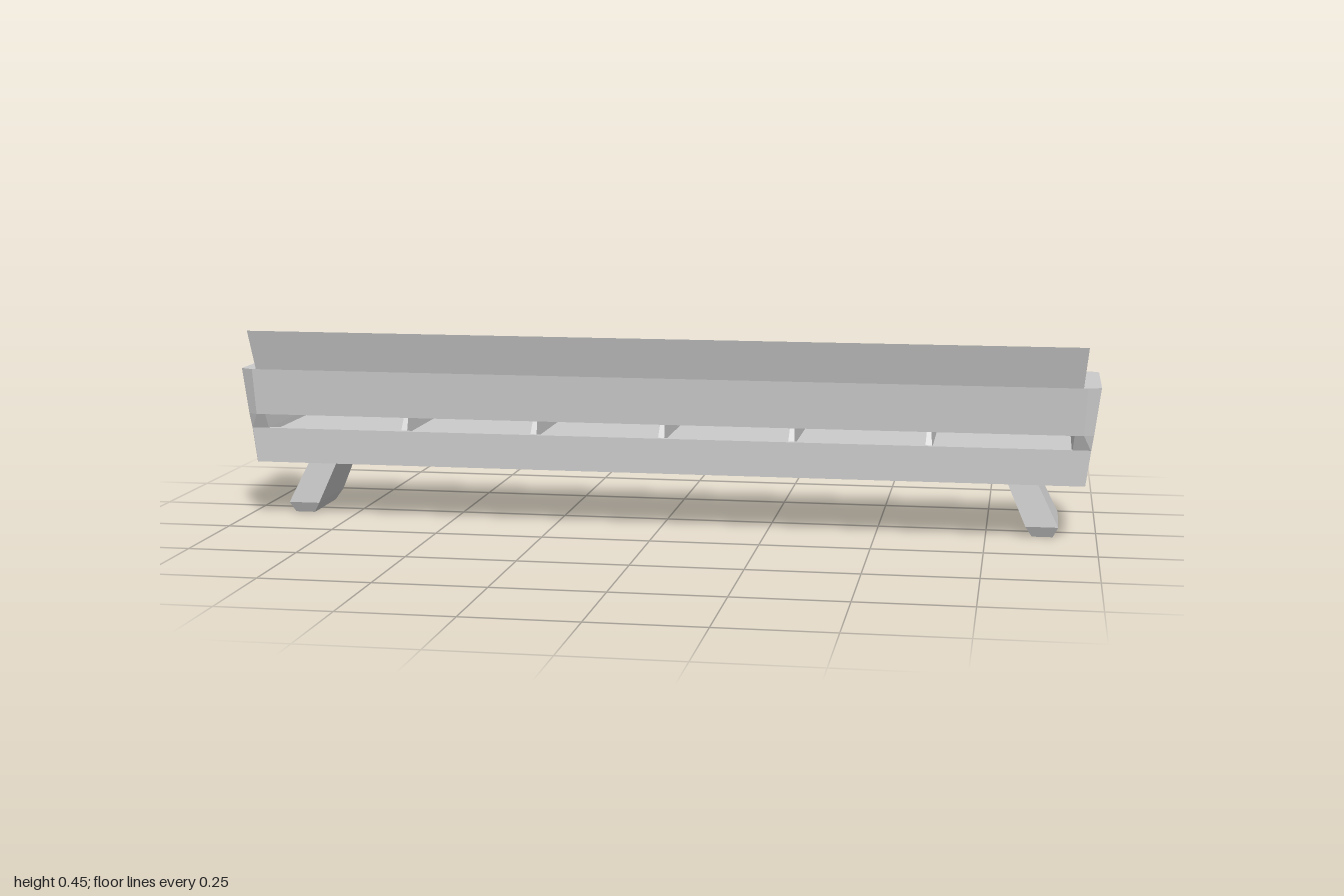
import * as THREE from 'three';

const material = new THREE.MeshStandardMaterial({ color: 0xcccccc, flatShading: true });

// Skin a closed solid through rings of equal point count, capped at both ends
function loft(name, rings) {
  const tris = [];
  const n = rings[0].length;
  for (let r = 0; r < rings.length - 1; r++) {
    for (let i = 0; i < n; i++) {
      const j = (i + 1) % n;
      const [a, b, c, d] = [rings[r][i], rings[r][j], rings[r + 1][j], rings[r + 1][i]];
      tris.push([a, b, c], [a, c, d]);
    }
  }
  const cap = (ring, flip) => {
    const mid = [0, 1, 2].map(k => ring.reduce((s, p) => s + p[k], 0) / n);
    ring.forEach((p, i) => {
      const q = ring[(i + 1) % n];
      tris.push(flip ? [mid, q, p] : [mid, p, q]);
    });
  };
  cap(rings[0], true);
  cap(rings[rings.length - 1], false);

  // Turn the faces outward whichever way the rings run
  const v = p => new THREE.Vector3(...p);
  const volume = tris.reduce((s, [a, b, c]) => s + v(a).dot(v(b).cross(v(c))), 0);
  if (volume < 0) tris.forEach(t => t.reverse());

  const geometry = new THREE.BufferGeometry();
  geometry.setAttribute('position', new THREE.Float32BufferAttribute(tris.flat(2), 3));
  geometry.computeVertexNormals();
  const mesh = new THREE.Mesh(geometry, material);
  mesh.name = name;
  return mesh;
}

// Horizontal section of an end panel: inner x, outer x, back z, front z, corner cuts
function panelRing(side, y, inner, outer, back, front, cutBack, cutFront) {
  return [
    [inner, back], [outer - cutBack * 2, back], [outer, back - cutBack],
    [outer, front + cutFront], [outer - cutFront * 1.5, front], [inner, front],
  ].map(([x, z]) => [side * x, y, z]);
}

// Rectangular leg section
function legRing(side, y, x0, x1, z0, z1) {
  return [[x0, z0], [x1, z0], [x1, z1], [x0, z1]].map(([x, z]) => [side * x, y, z]);
}

export function createModel() {
  const bench = new THREE.Group();
  bench.name = 'bench';

  // Seat tray with raised lips along both long edges, as [z, y]
  const seat = [
    [0.128, 0.133], [0.128, 0.215], [0.115, 0.215], [0.108, 0.204], [-0.148, 0.204],
    [-0.156, 0.215], [-0.168, 0.215], [-0.175, 0.208], [-0.175, 0.14], [-0.165, 0.133],
  ];
  bench.add(loft('seat', [-0.967, -0.945, 0.945, 0.967].map(x =>
    seat.map(([z, y]) => [x, y, Math.abs(x) > 0.95 ? Math.max(z, -0.162) : z]))));

  // Bent backrest, widening toward the top, as [z, y, half width]
  const back = [
    [0.143, 0.25, 0.95], [0.15, 0.358, 0.96], [0.175, 0.452, 0.97],
    [0.14, 0.443, 0.97], [0.117, 0.358, 0.96], [0.11, 0.25, 0.95],
  ];
  bench.add(loft('backrest', [-1, 1].map(s => back.map(([z, y, w]) => [s * w, y, z]))));

  // Low dividers across the seat, narrower at the top
  const divider = [
    [0.098, 0.2, 0.008], [0.07, 0.246, 0.005], [-0.125, 0.246, 0.005], [-0.148, 0.2, 0.008],
  ];
  for (const x of [-0.618, -0.304, 0, 0.304, 0.618]) {
    bench.add(loft('divider', [-1, 1].map(s => divider.map(([z, y, w]) => [x + s * w, y, z]))));
  }

  for (const side of [-1, 1]) {
    // Flared end panel with chamfered corners
    bench.add(loft('endPanel', [
      panelRing(side, 0.133, 0.935, 0.97, 0.128, -0.166, 0.0005, 0.002),
      panelRing(side, 0.215, 0.94, 0.981, 0.128, -0.158, 0.0005, 0.007),
      panelRing(side, 0.25, 0.943, 0.986, 0.143, -0.153, 0.011, 0.008),
      panelRing(side, 0.358, 0.955, 1, 0.15, -0.135, 0.015, 0.01),
    ]));

    // Splayed leg with a bevelled foot
    bench.add(loft('leg', [
      legRing(side, 0, 0.855, 0.902, -0.1, 0.058),
      legRing(side, 0.025, 0.84, 0.914, -0.118, 0.07),
      legRing(side, 0.135, 0.792, 0.86, -0.106, 0.058),
    ]));
  }
  return bench;
}
